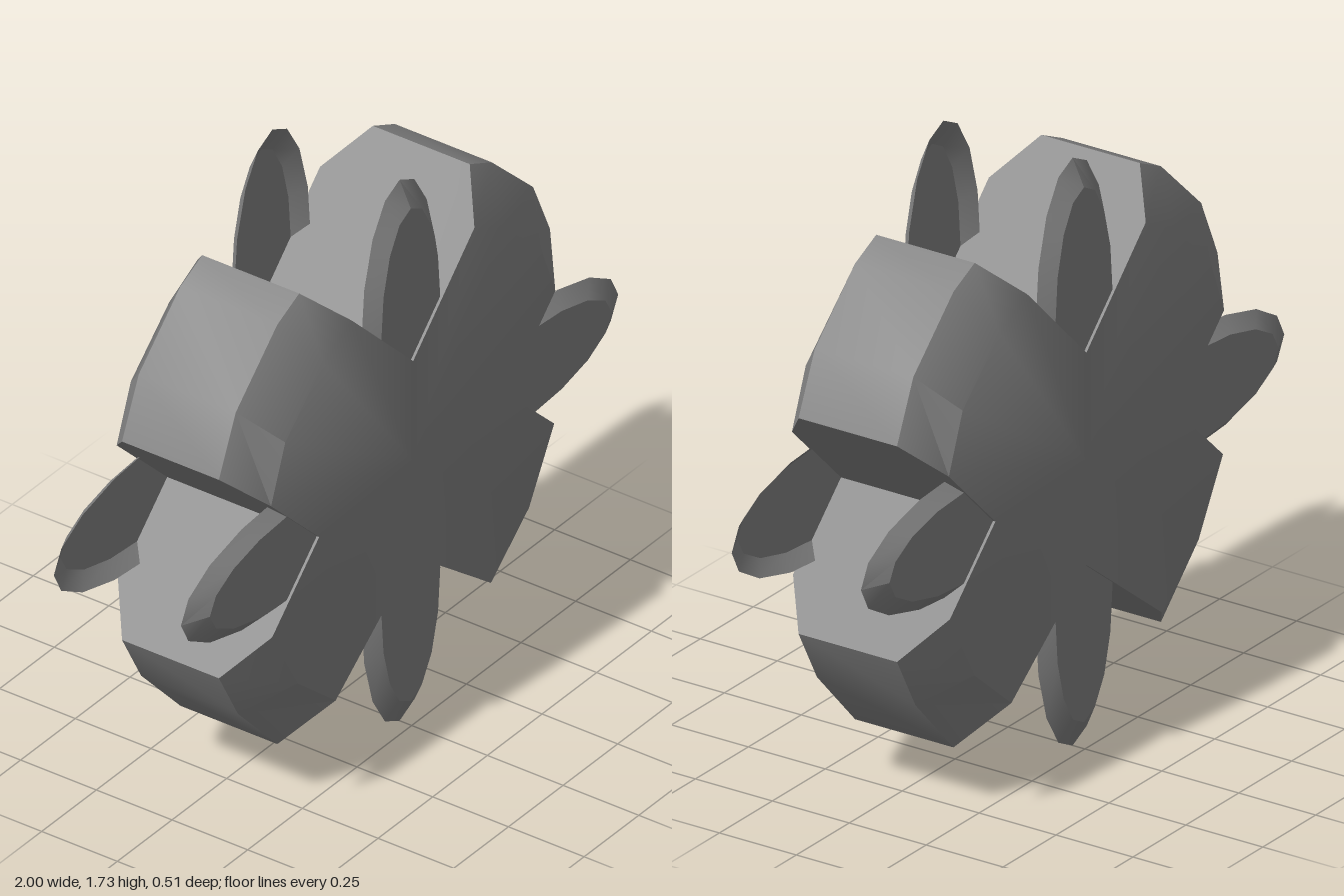
import * as THREE from 'three';
import { toCreasedNormals } from 'three/addons/utils/BufferGeometryUtils.js';

// Right half of the cross-shaped body, from the bottom notch up to the top notch
const OUTER = [[0, 0.545], [0.49, 0.168], [0.67, 0.36], [0.757, 0.52], [0.43, 0.835],
  [0.757, 1.155], [0.68, 1.33], [0.49, 1.51], [0.39, 1.557], [0, 1.17]];
// The same outline with the arm ends drawn in, for the flat faces
const INNER = [[0, 0.545], [0.355, 0.272], [0.53, 0.42], [0.645, 0.628], [0.43, 0.835],
  [0.65, 1.05], [0.585, 1.22], [0.41, 1.38], [0.28, 1.448], [0, 1.17]];

// Close a half outline by mirroring it across x = 0
function mirrored(half) {
  const left = half.slice(1, -1).reverse().map(([x, y]) => [-x, y]);
  return [...half, ...left];
}

// Loft the body through four rings and cap both faces with a fan
function bodyGeometry() {
  const inner = mirrored(INNER);
  const outer = mirrored(OUTER);
  const rings = [[inner, -0.255], [outer, -0.16], [outer, 0.16], [inner, 0.255]];
  const n = inner.length;
  const positions = [];
  const index = [];
  for (const [ring, z] of rings) {
    for (const [x, y] of ring) positions.push(x, y, z);
  }
  const backCentre = 4 * n;
  const frontCentre = backCentre + 1;
  positions.push(0, 0.85, -0.255, 0, 0.85, 0.255);

  for (let i = 0; i < n; i++) {
    const j = (i + 1) % n;
    for (let k = 0; k < 3; k++) {
      const a = k * n + i, b = k * n + j;
      index.push(a, b, b + n, a, b + n, a + n);
    }
    index.push(backCentre, j, i, frontCentre, 3 * n + i, 3 * n + j);
  }
  const geometry = new THREE.BufferGeometry();
  geometry.setAttribute('position', new THREE.Float32BufferAttribute(positions, 3));
  geometry.setIndex(index);
  return toCreasedNormals(geometry, 0.6);
}

// Shallow oval shell along x: flat face with a rim sloping back, open behind
function petalGeometry(length, width) {
  const profile = [[1, 0], [0.82, 0.037], [0, 0.037]].map(([r, h]) => new THREE.Vector2(r, h));
  const geometry = new THREE.LatheGeometry(profile, 16);
  geometry.rotateX(Math.PI / 2);
  geometry.scale(length, width, 1);
  // Narrow the flat face so the rim stays visible along the sides
  const p = geometry.attributes.position;
  for (let i = 0; i < p.count; i++) {
    if (p.getZ(i) > 0.02) p.setY(i, p.getY(i) * 0.94);
  }
  return toCreasedNormals(geometry, 0.42);
}

export function createModel() {
  const group = new THREE.Group();
  const bodyMaterial = new THREE.MeshStandardMaterial({ color: 0x858585 });
  const petalMaterial = new THREE.MeshStandardMaterial({ color: 0x858585, side: THREE.DoubleSide });

  const body = new THREE.Mesh(bodyGeometry(), bodyMaterial);
  body.name = 'crossBody';
  group.add(body);

  // Petals: centre, half length and turn, repeated on the front and the back
  const petals = [
    ['leftPetal', 0.55, 0.836, 0.45, 0],
    ['rightPetal', -0.55, 0.836, 0.45, 0],
    ['topPetal', 0, 1.3, 0.433, Math.PI / 2],
    ['bottomPetal', 0, 0.435, 0.433, Math.PI / 2],
  ];
  for (const [name, x, y, length, turn] of petals) {
    const geometry = petalGeometry(length, 0.175).rotateZ(turn);
    for (const side of [1, -1]) {
      const petal = new THREE.Mesh(geometry, petalMaterial);
      petal.name = name + (side > 0 ? 'Front' : 'Back');
      petal.position.set(x, y, 0.21 * side);
      if (side < 0) petal.rotation.y = Math.PI;
      group.add(petal);
    }
  }
  return group;
}
